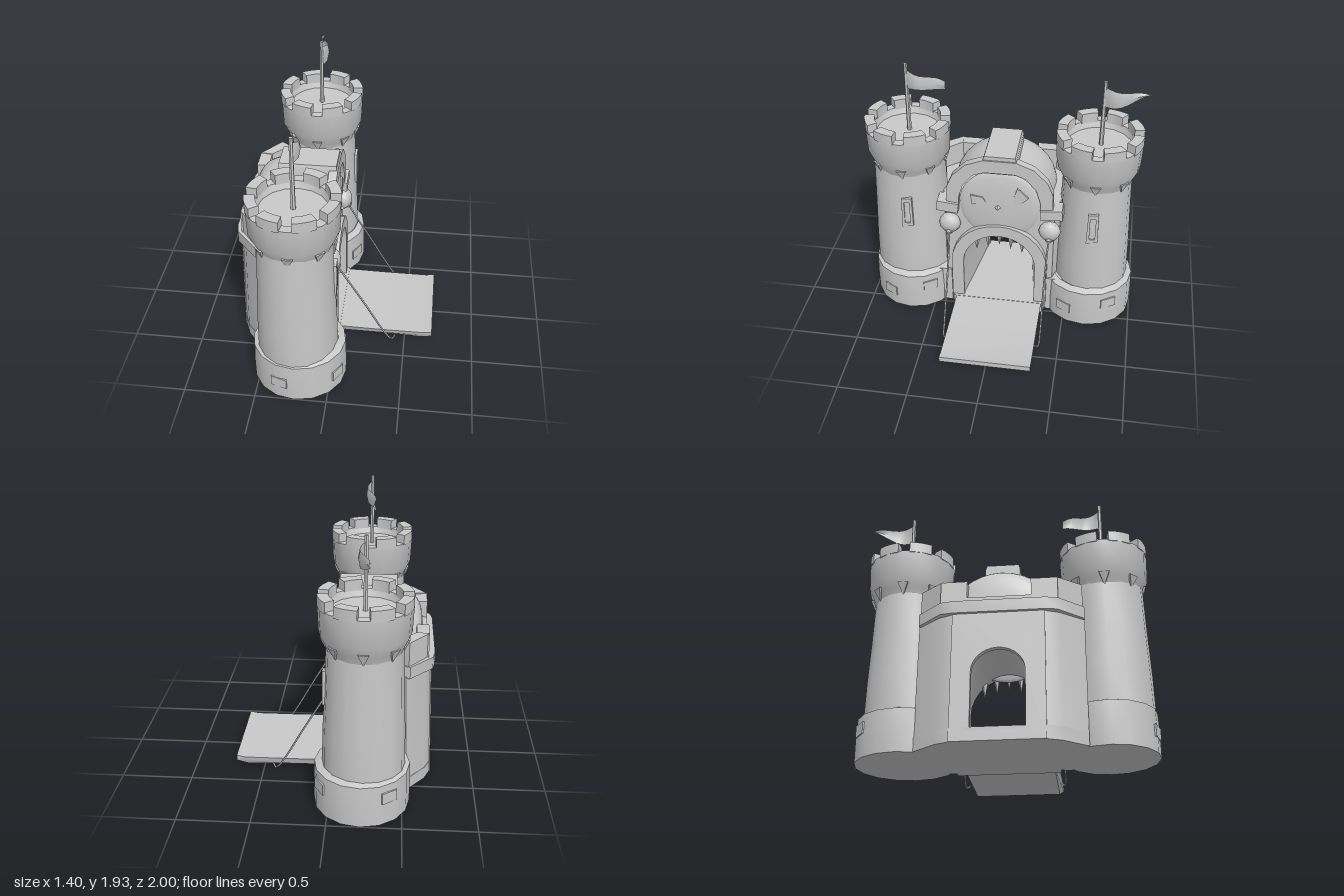
import * as THREE from 'three';
import { toCreasedNormals } from 'three/addons/utils/BufferGeometryUtils.js';

const stone = new THREE.MeshStandardMaterial({ color: 0xc8c8c8, side: THREE.DoubleSide });
stone.name = 'stone grey';

function add(parent, name, geo, x = 0, y = 0, z = 0) {
  const m = new THREE.Mesh(toCreasedNormals(geo, 0.62), stone);
  m.name = name;
  m.position.set(x, y, z);
  parent.add(m);
  return m;
}
const box = (parent, name, x0, x1, y0, y1, z0, z1) =>
  add(parent, name, new THREE.BoxGeometry(x1 - x0, y1 - y0, z1 - z0), (x0 + x1) / 2, (y0 + y1) / 2, (z0 + z1) / 2);
const poly = pts => new THREE.Shape(pts.map(p => new THREE.Vector2(p[0], p[1])));

// Extrude a (-z, y) outline along x
function extrudeX(shape, x0, x1) {
  return new THREE.ExtrudeGeometry(shape, { depth: x1 - x0, bevelEnabled: false, curveSegments: 16 })
    .rotateY(Math.PI / 2).translate(x0, 0, 0);
}
// Extrude an (x, -z) plan upwards
function extrudeY(shape, y0, y1) {
  return new THREE.ExtrudeGeometry(shape, { depth: y1 - y0, bevelEnabled: false, curveSegments: 4 })
    .rotateX(-Math.PI / 2).translate(0, y0, 0);
}
// Skin a list of equally long point rows
function loft(rows) {
  const n = rows[0].length, idx = [];
  for (let i = 0; i < rows.length - 1; i++)
    for (let j = 0; j < n - 1; j++) {
      const a = i * n + j, b = a + n;
      idx.push(a, b, a + 1, b, b + 1, a + 1);
    }
  const g = new THREE.BufferGeometry();
  g.setAttribute('position', new THREE.Float32BufferAttribute(rows.flat(2), 3));
  g.setIndex(idx);
  return g;
}
// Lean the rear of a wall slightly inwards with height
function lean(geo) {
  const p = geo.attributes.position;
  for (let i = 0; i < p.count; i++) if (p.getX(i) < -0.5) p.setX(i, p.getX(i) + 0.03 * p.getY(i));
  return geo;
}
// Points of a round-headed arch
function archPoints(w, y0, spring, top) {
  const pts = [[w, y0]];
  for (let i = 0; i <= 14; i++) {
    const a = Math.PI * i / 14;
    pts.push([w * Math.cos(a), spring + (top - spring) * Math.sin(a)]);
  }
  pts.push([-w, y0]);
  return pts;
}
const mirrored = half => [...half, ...half.map(([x, y]) => [-x, y]).reverse()];
function withHole(outer, hole) {
  const s = poly(outer);
  s.holes.push(poly(hole));
  return s;
}

function tower(side) {
  const g = new THREE.Group(), left = side > 0;
  g.name = left ? 'leftTower' : 'rightTower';
  g.position.set(-0.233, 0, left ? 0.692 : -0.68);
  const lathe = pts => new THREE.LatheGeometry(pts.map(p => new THREE.Vector2(p[0], p[1])), 16);
  const base = new THREE.Group();
  base.name = 'base';
  base.position.set(0.01, 0, left ? -0.007 : 0.018);
  base.scale.set(1.05, 1, left ? 1.01 : 1.08);
  g.add(base);
  add(base, 'towerBase', lathe([[0, 0], [0.312, 0], [0.313, 0.15], [0.308, 0.295], [0.26, 0.315]]));
  add(g, 'towerShaft', lathe([[0.28, 0.3], [0.275, 0.55], [0.262, 0.85], [0.25, 1.2]])).scale.z = left ? 1.05 : 0.98;
  add(g, 'towerCrown', lathe([[0.245, 1.14], [0.265, 1.2], [0.298, 1.27], [0.306, 1.46],
    [0.245, 1.46], [0.228, 1.41], [0, 1.41]]));

  for (let i = 0; i < 8; i++) {
    const mid = (i + 0.5) * Math.PI / 4, h = 0.26;
    // Merlons around the rim
    const s = new THREE.Shape();
    s.absarc(0, 0, 0.306, mid - h, mid + h, false);
    s.absarc(0, 0, 0.235, mid + h, mid - h, true);
    add(g, 'merlon', extrudeY(s, 1.45, 1.525));
    // Pointed corbels under the crown
    const a = mid - 0.39;
    add(g, 'corbel', new THREE.ConeGeometry(0.05, 0.09, 4, 1).rotateX(Math.PI).rotateY(Math.PI / 4),
      0.25 * Math.cos(a), 1.18, 0.25 * Math.sin(a)).rotation.y = -a;
  }

  // Slit window with a raised frame on the gate side
  const frame = withHole([[-0.042, 0.73], [0.042, 0.75], [0.038, 0.99], [-0.036, 0.98]],
    [[-0.02, 0.77], [0.02, 0.77], [0.02, 0.95], [-0.02, 0.95]]);
  add(g, 'windowFrame', extrudeX(frame, 0.23, 0.273), 0, 0, left ? -0.02 : 0);

  // Raised stones on the base
  [[-0.55, 0.2], [0.5, 0.13], [1.9, 0.14], [-2.2, 0.2]].forEach(([a, y]) => {
    add(base, 'baseStone', new THREE.BoxGeometry(0.02, 0.08, 0.11),
      0.304 * Math.cos(a), y, 0.304 * Math.sin(a)).rotation.y = -a;
  });

  // Pole and waving flag
  const top = left ? 1.93 : 1.9, len = left ? 0.27 : 0.31;
  add(g, 'flagPole', new THREE.CylinderGeometry(0.013, 0.017, top - 1.4, 6), 0, (top + 1.4) / 2, -0.008);
  const rows = [];
  for (let i = 0; i <= 8; i++) {
    const t = i / 8, x = 0.035 * Math.sin(t * 5.5), z = -0.008 - t * len;
    const hi = top - 0.04 - (left ? 0.09 * t : 0.07 * t - 0.02 * t * t);
    const lo = top - 0.19 + (left ? 0.01 * Math.sin(t * 6) : 0.1 * t * t);
    rows.push([0, 0.5, 1].map(v => [x + 0.012 * Math.sin(v * 3), lo + (hi - lo) * v, z]));
  }
  add(g, 'flag', loft(rows));
  return g;
}

function gatehouse() {
  const g = new THREE.Group();
  g.name = 'gatehouse';

  // Side walls, floor and roof deck
  const rim = [[-0.05, 0.4], [-0.2, 0.45], [-0.53, 0.55]];
  const rounded = [...rim, [-0.66, 0.39], [-0.697, 0.3]];
  const slab = half => poly([...half, ...half.map(([x, z]) => [x, -z]).reverse()]);
  for (const s of [1, -1]) {
    const plan = [[-0.05, 0.28], ...rounded, [-0.703, 0.185]];
    add(g, 'sideWall', lean(extrudeY(poly(plan.map(([x, z]) => [x, z * s])), 0, 0.88)));
  }
  add(g, 'floor', extrudeY(slab([...rounded, [-0.703, 0.2]]), 0, 0.09));
  add(g, 'ledge', extrudeY(slab([...rim, [-0.685, 0.38], [-0.7, 0.3]]), 0.87, 0.955));

  // Front and rear walls around the passage
  const inner = archPoints(0.27, 0.09, 0.42, 0.69);
  const rear = archPoints(0.172, 0.09, 0.46, 0.62);
  add(g, 'frontWall', extrudeX(withHole([[-0.4, 0], [0.4, 0], [0.4, 0.95], [-0.4, 0.95]], inner), -0.09, -0.045));
  add(g, 'rearWall', lean(extrudeX(withHole([[-0.3, 0], [0.3, 0], [0.3, 0.9], [-0.3, 0.9]], rear), -0.705, -0.665)));
  add(g, 'passage', lean(loft([inner.map(([z, y]) => [-0.04, y, z]), rear.map(([z, y]) => [-0.705, y, z])])));

  // Raised gate arch and sill
  const outer = archPoints(0.36, 0.03, 0.42, 0.78);
  add(g, 'gateArch', extrudeX(poly([...outer, ...archPoints(0.27, 0.03, 0.42, 0.69).reverse()]), -0.06, 0));
  box(g, 'sill', -0.06, 0.02, 0, 0.09, -0.35, 0.35);

  // Teeth hanging from the arch
  [-0.17, -0.085, 0, 0.085, 0.17].forEach((z, i) => {
    const h = i % 2 ? 0.13 : 0.11, y = 0.42 + 0.27 * Math.sqrt(1 - (z / 0.27) ** 2);
    add(g, 'tooth', new THREE.ConeGeometry(0.026, h, 5).rotateX(Math.PI), -0.03, y - h / 2 + 0.01, z);
  });

  // Rounded roof, widening and then closing towards the rear
  const rows = [];
  for (let i = 0; i <= 16; i++) {
    const x = -0.05 - 0.57 * Math.sin(i / 16 * Math.PI / 2);
    const s = Math.max(0, 1 - Math.max(0, (-x - 0.25) / 0.37) ** 4) ** 0.25;
    const w = 0.345 + 0.04 * Math.min(1, (-x - 0.05) / 0.35);
    const row = [];
    for (let j = 0; j <= 16; j++) {
      const a = Math.PI * j / 16;
      row.push([x, 0.92 + 0.36 * s * Math.sin(a), w * s * Math.cos(a)]);
    }
    rows.push(row);
  }
  add(g, 'domedRoof', loft(rows));
  add(g, 'roofRidge', extrudeX(poly([[-0.12, 1.22], [0.12, 1.22], [0.12, 1.33], [0.11, 1.36], [-0.11, 1.36], [-0.12, 1.33]]), -0.43, -0.03));

  // Arched hood with the gate face inside it
  const hoodOuter = mirrored([[0.39, 0.92], [0.385, 1.08], [0.345, 1.18], [0.245, 1.28], [0.12, 1.33]]);
  const hoodInner = mirrored([[0.3, 0.92], [0.297, 1], [0.265, 1.11], [0.19, 1.2], [0.11, 1.23]]);
  add(g, 'hood', extrudeX(poly([...hoodOuter, ...hoodInner.reverse()]), -0.08, -0.02));
  add(g, 'face', new THREE.SphereGeometry(0.3, 24, 16).scale(0.13, 1, 1), -0.055, 0.935, 0);
  add(g, 'nose', new THREE.ConeGeometry(0.03, 0.05, 4).rotateZ(-Math.PI / 2), -0.005, 0.94, 0.01);
  add(g, 'leftEye', extrudeX(poly([[-0.21, 1.03], [-0.2, 0.95], [-0.1, 0.98], [-0.12, 1.02]]), -0.04, -0.015));
  add(g, 'rightEye', extrudeX(poly([[0.1, 1.02], [0.13, 0.96], [0.21, 1.04], [0.13, 1.12]]), -0.04, -0.015));

  for (const s of [1, -1]) {
    const span = (name, x0, x1, y0, y1, a, b) =>
      box(g, name, x0, x1, y0, y1, Math.min(a * s, b * s), Math.max(a * s, b * s));
    // Projecting ears and rounded chain bosses
    span('ear', -0.12, 0, 0.875, 0.955, 0.3, 0.46).rotation.x = -0.1 * s;
    add(g, 'chainBoss', new THREE.IcosahedronGeometry(0.082, 1).scale(0.75, 1, 1), -0.03, 0.76, 0.37 * s);
    add(g, 'bossKnob', new THREE.IcosahedronGeometry(0.035, 0), 0, 0.71, 0.37 * s);
    // Plinth between the tower base and the gate arch
    span('plinth', -0.24, -0.03, 0, 0.305, s > 0 ? 0.37 : 0.335, 0.48);
    // Parapet along the rear corner and the slanted wall to the tower
    span('cornerMerlon', -0.655, -0.57, 0.95, 1.12, 0.21, 0.385);
    const slant = [[-0.655, 0.37], [-0.52, 0.54], [-0.45, 0.49], [-0.57, 0.36]];
    add(g, 'slantedParapet', extrudeY(poly(slant.map(([x, z]) => [x, -z * s])), 0.95, 1.125));
    // Chains down to the bridge
    const path = new THREE.CatmullRomCurve3([[0, 0.71, 0.37], [0.05, 0.62, 0.365], [0.2, 0.36, 0.36],
      [0.36, 0.08, 0.36], [0.41, 0.02, 0.355], [0.43, 0.04, 0.33]]
      .map(([x, y, z]) => new THREE.Vector3(x, y, z * s)));
    add(g, 'chain', new THREE.TubeGeometry(path, 24, 0.007, 5));
  }
  box(g, 'rearParapet', -0.655, -0.58, 0.95, 1.0, -0.21, 0.21);
  return g;
}

function drawbridge() {
  const side = poly([[-0.04, 0.03], [0.4, 0.025], [0.62, 0.015], [0.7, 0.055], [0.7, 0.095], [0.64, 0.083], [0.3, 0.083], [-0.04, 0.088]]);
  const geo = new THREE.ExtrudeGeometry(side, { depth: 0.66, bevelEnabled: false }).translate(0, 0, -0.33);
  // Underside narrower than the deck
  const p = geo.attributes.position;
  for (let i = 0; i < p.count; i++) if (p.getY(i) < 0.04) p.setZ(i, p.getZ(i) * 0.92);
  return geo;
}

export function createModel() {
  const model = new THREE.Group();
  model.name = 'castle';
  model.add(tower(1), tower(-1), gatehouse());
  add(model, 'drawbridge', drawbridge());
  return model;
}
